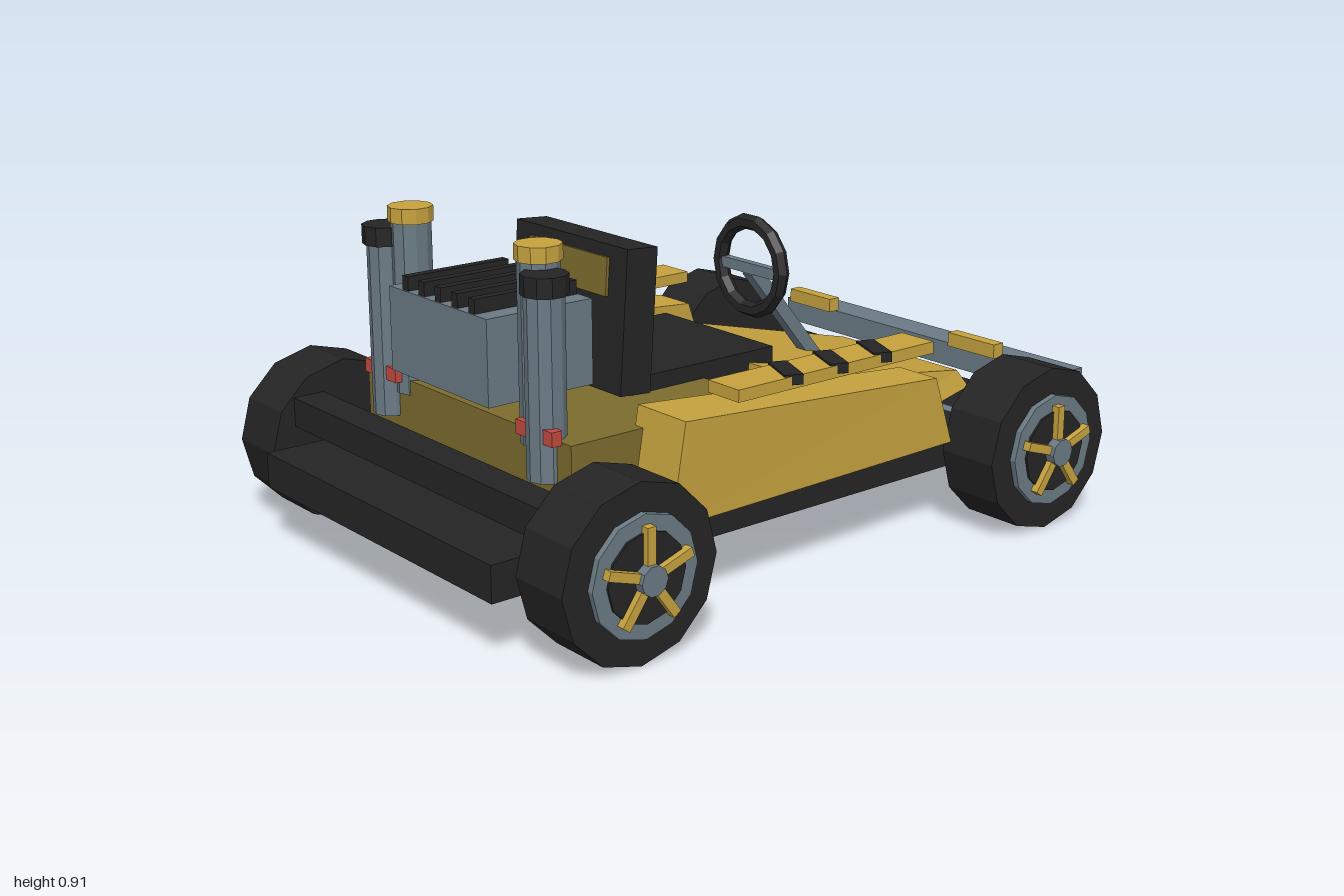
import * as THREE from 'three';

const mat = (name, color) => {
  const m = new THREE.MeshStandardMaterial({ color });
  m.name = name;
  m.flatShading = true;
  return m;
};

export function createModel() {
  const yellow = mat('yellow', 0xc6a23e);
  const olive = mat('olive', 0x7c6c2e);
  const slate = mat('slate', 0x6a7a84);
  const black = mat('black', 0x242424);
  const red = mat('red', 0xc24a40);
  const kart = new THREE.Group();
  kart.name = 'kart';

  const add = (name, geo, material, parent = kart) => {
    const m = new THREE.Mesh(geo, material);
    m.name = name;
    parent.add(m);
    return m;
  };
  // Box given by its extents on each axis
  const box = (name, material, [x0, x1], [y0, y1], [z0, z1], parent = kart) => {
    const m = add(name, new THREE.BoxGeometry(x1 - x0, y1 - y0, z1 - z0), material, parent);
    m.position.set((x0 + x1) / 2, (y0 + y1) / 2, (z0 + z1) / 2);
    return m;
  };
  // Upright cylinder
  const post = (name, material, r, x, [y0, y1], z, sides = 10) => {
    const m = add(name, new THREE.CylinderGeometry(r, r, y1 - y0, sides), material);
    m.position.set(x, (y0 + y1) / 2, z);
    return m;
  };
  // Box whose eight corners are placed by a rule taking the signs of x, y and z
  const wedge = (name, material, rule) => {
    const g = new THREE.BoxGeometry(2, 2, 2).toNonIndexed();
    const p = g.attributes.position;
    for (let i = 0; i < p.count; i++) {
      p.setXYZ(i, ...rule(p.getX(i) > 0, p.getY(i) > 0, p.getZ(i) > 0));
    }
    g.computeVertexNormals();
    return add(name, g, material);
  };

  // Chassis and bars
  box('floor', black, [-0.515, 0.515], [0.155, 0.25], [-0.92, 1]);
  box('exhaustEndBar', black, [-0.57, 0.57], [0.29, 0.37], [0.8, 0.89]);
  box('noseBumper', slate, [-0.56, 0.56], [0.28, 0.35], [-1, -0.9]);
  box('engineDeck', olive, [-0.45, 0.45], [0.27, 0.457], [0.12, 0.72]);

  // Tapered nose
  wedge('nose', yellow, (px, py, pz) => {
    const w = pz ? (py ? 0.43 : 0.52) : (py ? 0.235 : 0.255);
    const y = py ? (pz ? 0.47 : 0.3) : 0.25;
    const z = pz ? -0.035 : (py ? -0.835 : -0.865);
    return [px ? w : -w, y, z];
  });

  // Seat
  box('seatCushion', black, [-0.225, 0.225], [0.4, 0.5], [-0.12, 0.36]);
  const back = new THREE.Group();
  back.name = 'seatBack';
  back.position.set(0, 0.65, 0.343);
  back.rotation.x = -0.07;
  kart.add(back);
  box('backrest', black, [-0.235, 0.235], [-0.19, 0.187], [-0.048, 0.048], back);
  box('backrestPanel', olive, [-0.165, 0.165], [0.055, 0.155], [-0.056, 0.056], back);

  // Engine with cooling fins
  box('engine', slate, [-0.215, 0.215], [0.507, 0.728], [0.475, 0.79]);
  for (let i = -2; i <= 2; i++) {
    const x = i * 0.073;
    box('engineFin', black, [x - 0.013, x + 0.013], [0.72, 0.765], [0.48, 0.785]);
  }

  // Steering wheel and column
  add('steeringWheel', new THREE.TorusGeometry(0.125, 0.022, 6, 14), black).position.set(0, 0.66, -0.24);
  box('steeringBar', slate, [-0.115, 0.115], [0.64, 0.67], [-0.252, -0.228]);
  const top = new THREE.Vector3(0, 0.65, -0.24);
  const foot = new THREE.Vector3(0, 0.36, -0.48);
  const column = add('steeringColumn', new THREE.BoxGeometry(0.038, 0.038, top.distanceTo(foot)), slate);
  column.position.copy(top).lerp(foot, 0.5);
  column.lookAt(foot);

  for (const s of [1, -1]) {
    const span = (a, b) => (s > 0 ? [a, b] : [-b, -a]);

    // Side pod with a raised plate and slanted stripes
    wedge('sidePod', yellow, (px, py, pz) => {
      const outer = px === s > 0;
      const x = pz ? (outer ? 0.6 : 0.42) : (outer ? 0.575 : 0.44);
      const z = pz ? (py ? 0.495 : 0.54) : (py ? -0.385 : -0.45);
      return [s * x, py ? (pz ? 0.508 : 0.44) : 0.25, z];
    });
    box('podPlate', yellow, span(0.445, 0.56), [0.505, 0.537], [-0.385, 0.295]);
    for (const z of [-0.22, -0.065, 0.09]) {
      box('podStripe', black, span(0.441, 0.567), [0.515, 0.542], [z - 0.025, z + 0.025]).rotation.y = -0.4;
    }

    // Nose lights
    box('noseLight', yellow, span(0.245, 0.42), [0.385, 0.425], [-0.82, -0.782]);

    // Exhaust stacks and clamp
    post('tallExhaust', slate, 0.053, s * 0.278, [0.417, 0.88], 0.68);
    post('tallExhaustCap', yellow, 0.059, s * 0.278, [0.87, 0.91], 0.68);
    post('shortExhaust', slate, 0.05, s * 0.346, [0.35, 0.82], 0.715);
    post('shortExhaustCap', black, 0.059, s * 0.349, [0.805, 0.855], 0.715);
    box('exhaustClamp', red, span(0.268, 0.415), [0.45, 0.487], [0.72, 0.75]);
  }

  // Axles and wheels
  for (const z of [0.735, -0.665]) {
    const axle = post('axle', slate, 0.028, 0, [-0.6, 0.6], z, 8);
    axle.position.y = 0.23;
    axle.rotation.z = Math.PI / 2;
    for (const s of [1, -1]) {
      const wheel = new THREE.Group();
      wheel.name = 'wheel';
      wheel.position.set(s * 0.6425, 0.225, z);
      wheel.rotation.y = s > 0 ? 0 : Math.PI;
      kart.add(wheel);
      const disc = (name, material, r, x0, x1, sides) => {
        const g = new THREE.CylinderGeometry(r, r, x1 - x0, sides).rotateZ(-Math.PI / 2);
        add(name, g, material, wheel).position.x = (x0 + x1) / 2;
      };
      disc('tyre', black, 0.225, -0.0875, 0.0875, 12);
      disc('rim', slate, 0.153, 0.08, 0.104, 12);
      disc('rimRecess', black, 0.113, 0.08, 0.11, 12);
      disc('hub', slate, 0.038, 0.08, 0.138, 10);
      for (let i = 0; i < 5; i++) {
        const spoke = new THREE.BoxGeometry(0.022, 0.11, 0.024).translate(0.116, 0.072, 0);
        add('spoke', spoke, yellow, wheel).rotation.x = (i * Math.PI * 2) / 5;
      }
    }
  }
  return kart;
}
